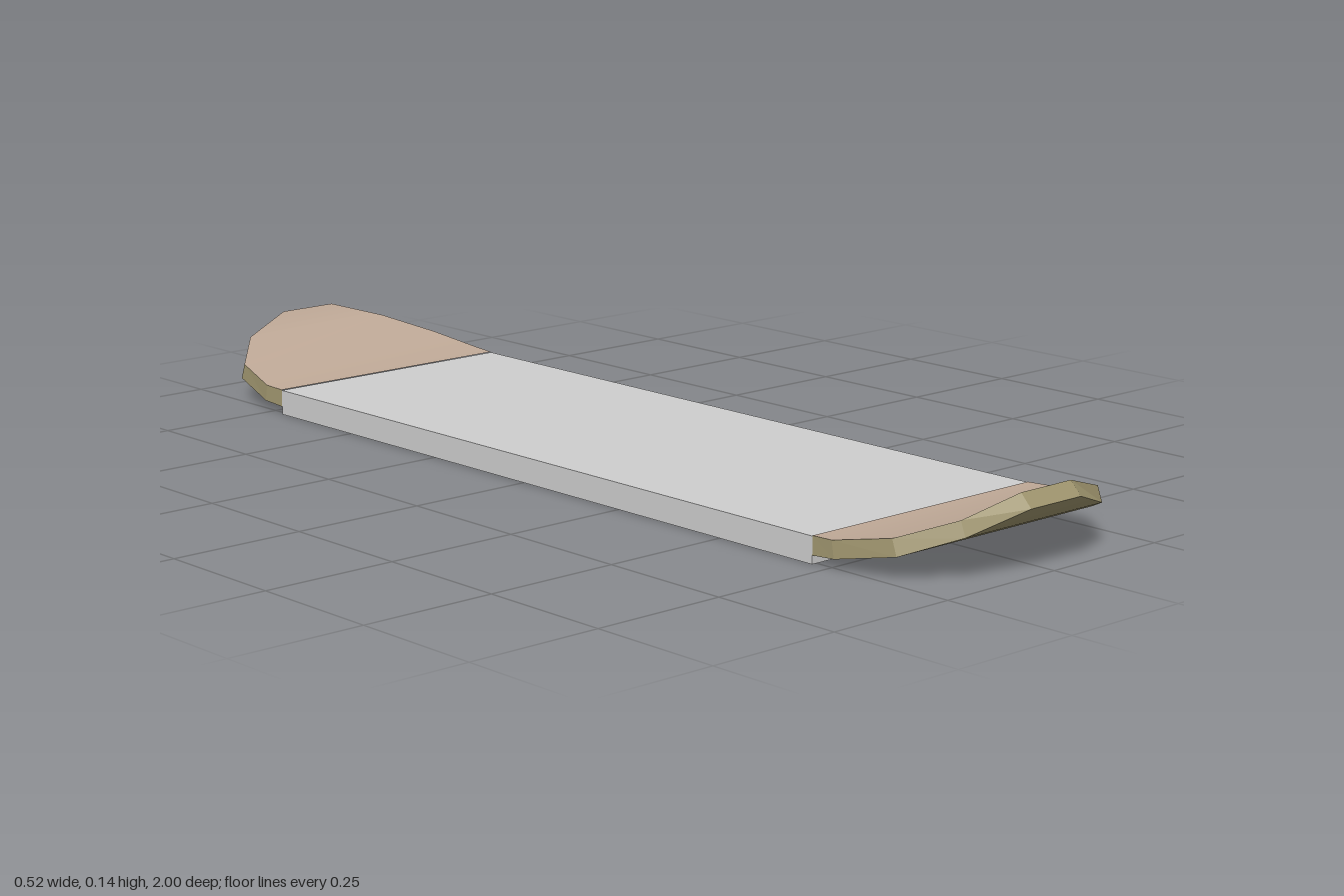
import * as THREE from 'three';

// Cross-sections of an upturned end, from the deck outwards: [z, half width, y]
const TOP = [[0.715, 0.26, 0.048], [0.76, 0.262, 0.05], [0.868, 0.237, 0.07], [0.947, 0.165, 0.102], [0.978, 0.06, 0.135]];
const BOTTOM = [[0.715, 0.26, 0.015], [0.765, 0.262, 0.019], [0.878, 0.237, 0.041], [0.957, 0.165, 0.075], [1, 0.06, 0.112]];

const edge = (rows, side) => rows.map(([z, w, y]) => [side * w, y, z]);
// Edge line from the left side around the tip to the right side
const outline = rows => [...edge(rows, 1), ...edge(rows, -1).reverse()];

// Surface between two lines of points
function strip(a, b) {
  const geometry = new THREE.BufferGeometry();
  const index = [];
  const n = a.length;
  for (let i = 0; i < n - 1; i++) index.push(i, i + 1, n + i, n + i, i + 1, n + i + 1);
  geometry.setAttribute('position', new THREE.Float32BufferAttribute([...a, ...b].flat(), 3));
  geometry.setIndex(index);
  geometry.computeVertexNormals();
  return geometry;
}

function makeMesh(geometry, name, color, flatShading = false) {
  const mesh = new THREE.Mesh(geometry, new THREE.MeshStandardMaterial({ color, flatShading }));
  mesh.name = name;
  return mesh;
}

// Rounded, upturned end made of a top skin, an underside and a rim
function makeEnd(name) {
  const end = new THREE.Group();
  end.name = name;
  end.add(
    makeMesh(strip(edge(TOP, -1), edge(TOP, 1)), name + 'Top', 0xbea896),
    makeMesh(strip(edge(BOTTOM, 1), edge(BOTTOM, -1)), name + 'Underside', 0x8f8662),
    makeMesh(strip(outline(TOP), outline(BOTTOM)), name + 'Rim', 0xa0966f, true),
  );
  return end;
}

export function createModel() {
  const board = new THREE.Group();
  board.name = 'board';

  // Flat middle slab
  const deck = makeMesh(new THREE.BoxGeometry(0.52, 0.047, 1.43), 'deck', 0xcccccc);
  deck.position.y = 0.0235;

  // Matching ends, the rear one turned round
  const nose = makeEnd('nose');
  const tail = makeEnd('tail');
  tail.rotation.y = Math.PI;

  board.add(deck, nose, tail);
  return board;
}
